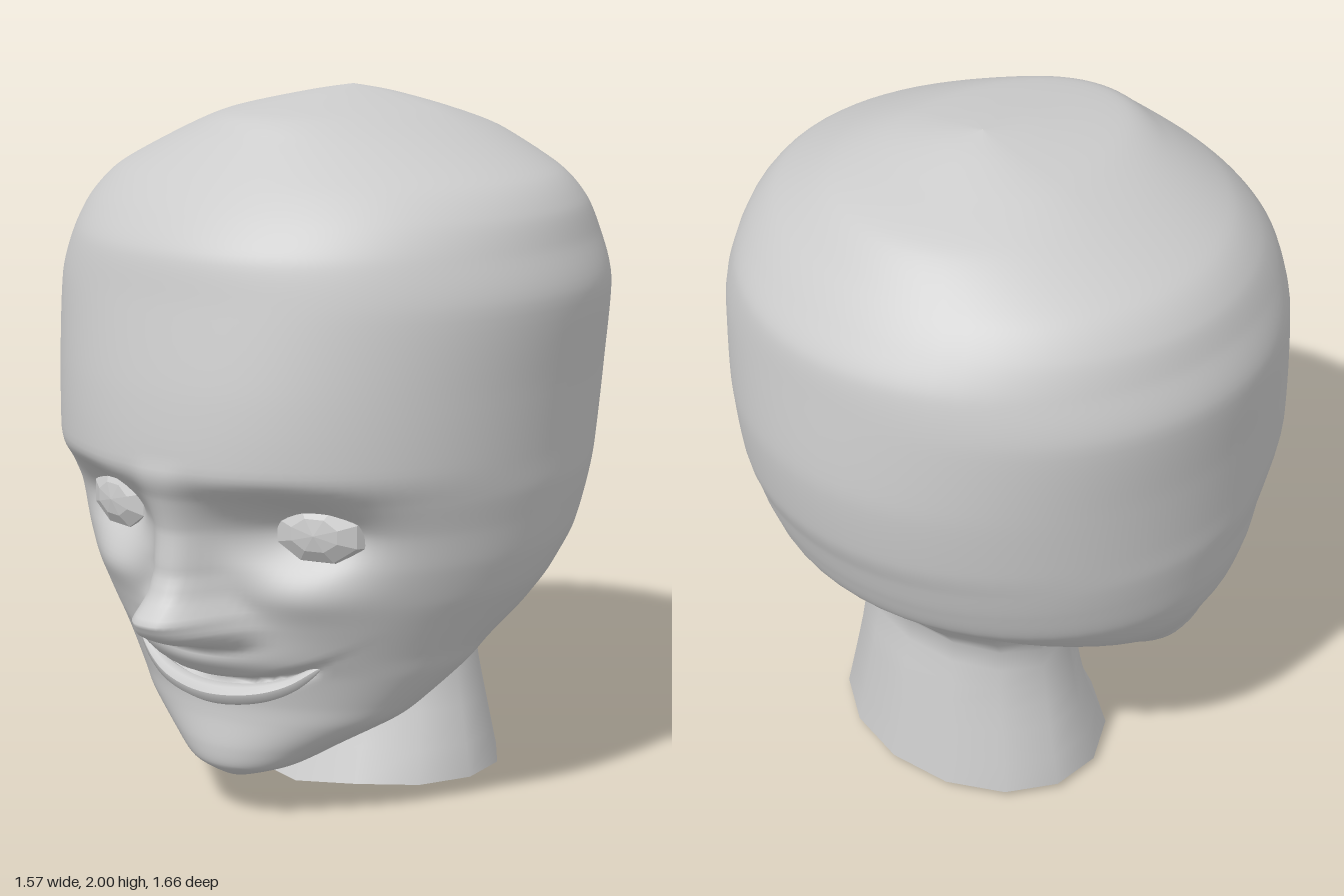
import * as THREE from 'three';

const grey = new THREE.MeshStandardMaterial({ color: 0xcccccc });
const greyOpen = new THREE.MeshStandardMaterial({ color: 0xcccccc, side: THREE.DoubleSide });
const greyFlat = new THREE.MeshStandardMaterial({ color: 0xcccccc, flatShading: true });

// Cross-sections from bottom to top: [y, half width, front z, back z, z of widest point]
const HEAD = [
  [0.11, 0.001, 0.411, 0.409, 0.41], [0.118, 0.05, 0.46, 0.37, 0.41], [0.16, 0.17, 0.52, 0.26, 0.37],
  [0.22, 0.27, 0.53, 0.08, 0.3], [0.3, 0.4, 0.52, 0.02, 0.22], [0.36, 0.46, 0.52, -0.06, 0.17],
  [0.45, 0.535, 0.54, -0.17, 0.1], [0.51, 0.57, 0.57, -0.26, 0.06], [0.6, 0.63, 0.61, -0.43, 0.0],
  [0.68, 0.675, 0.63, -0.57, -0.02], [0.78, 0.71, 0.665, -0.7, -0.04], [0.88, 0.73, 0.69, -0.75, -0.05],
  [0.97, 0.745, 0.73, -0.78, -0.05], [1.06, 0.75, 0.775, -0.81, -0.05], [1.25, 0.765, 0.755, -0.83, -0.05],
  [1.48, 0.785, 0.705, -0.81, -0.06], [1.61, 0.745, 0.675, -0.79, -0.06], [1.7, 0.71, 0.61, -0.73, -0.07],
  [1.78, 0.635, 0.53, -0.66, -0.08], [1.88, 0.44, 0.41, -0.55, -0.1], [1.94, 0.29, 0.32, -0.37, -0.12],
  [1.98, 0.12, 0.06, -0.24, -0.14], [2.0, 0.001, -0.139, -0.141, -0.14],
];
const NECK = [
  [0.02, 0.44, 0.15, -0.535, -0.2], [0.22, 0.395, 0.06, -0.5, -0.2], [0.36, 0.37, 0.03, -0.475, -0.2],
  [0.5, 0.365, 0.0, -0.45, -0.22], [0.6, 0.4, 0.0, -0.535, -0.25], [0.7, 0.45, 0.0, -0.62, -0.28],
  [0.8, 0.46, 0.0, -0.66, -0.28],
];

// Nose by height: [y, projection, half width]
const NOSE = [
  [0.54, 0, 0.13], [0.56, 0.07, 0.14], [0.578, 0.14, 0.14], [0.605, 0.19, 0.14], [0.645, 0.212, 0.125],
  [0.7, 0.135, 0.1], [0.76, 0.085, 0.085], [0.88, 0.045, 0.08], [1.0, 0.02, 0.08], [1.08, 0, 0.08],
];

// Linear interpolation in a table keyed by its first column
function sample(table, y) {
  let i = 0;
  while (i < table.length - 2 && table[i + 1][0] < y) i++;
  const p = table[i], q = table[i + 1];
  const t = THREE.MathUtils.clamp((y - p[0]) / (q[0] - p[0]), 0, 1);
  return p.map((v, k) => v + (q[k] - v) * t);
}

// Rounded interpolation between table rows by index
function blend(table, k, t) {
  const row = (i) => table[THREE.MathUtils.clamp(i, 0, table.length - 1)];
  const [o, p, q, r] = [row(k - 1), row(k), row(k + 1), row(k + 2)];
  const t2 = t * t, t3 = t2 * t, pull = 0.4;
  return p.map((v, n) => v * (2 * t3 - 3 * t2 + 1) + q[n] * (3 * t2 - 2 * t3)
    + pull * (q[n] - o[n]) * (t3 - 2 * t2 + t) + pull * (r[n] - v) * (t3 - t2));
}

const hill = (dx, dy, sx, sy) => Math.exp(-((dx / sx) ** 2) - (dy / sy) ** 2);

// Loft through rings; columns can crowd towards the front, rule moves each vertex
function loft(table, steps, columns, crowd, rule) {
  const pos = [], index = [];
  const rows = (table.length - 1) * steps + 1;
  for (let i = 0; i < rows; i++) {
    const k = Math.min(Math.floor(i / steps), table.length - 2);
    const [y, a, front, back, mid] = blend(table, k, i / steps - k);
    for (let j = 0; j < columns; j++) {
      const u = (j / columns) * Math.PI * 2;
      const angle = u - crowd * Math.sin(u);
      const c = Math.cos(angle);
      const p = new THREE.Vector3(a * Math.sin(angle), y, mid + c * (c > 0 ? front - mid : mid - back));
      rule(p, c);
      pos.push(p.x, p.y, p.z);
      if (i < rows - 1) {
        const n = i * columns + j, m = i * columns + ((j + 1) % columns);
        index.push(n, m, m + columns, n, m + columns, n + columns);
      }
    }
  }
  const geo = new THREE.BufferGeometry();
  geo.setAttribute('position', new THREE.Float32BufferAttribute(pos, 3));
  geo.setIndex(index);
  geo.computeVertexNormals();
  return geo;
}

// Nose, eye sockets, cheeks and mouth pushed out of or into the front of the skull
function faceRule(p, c) {
  if (c <= 0) return;
  const { x, y } = p, ax = Math.abs(x);
  let d = 0;
  if (y > 0.54 && y < 1.08) {
    const [, out, w] = sample(NOSE, y);
    d += out * Math.exp(-((ax / w) ** 3));
  }
  d -= 0.14 * hill(ax - 0.31, y - 0.88, 0.16, 0.105);          // eye sockets
  d += 0.015 * hill(ax - 0.3, y - 1.02, 0.2, 0.05);            // brows
  d += 0.02 * hill(ax - 0.33, y - 0.7, 0.13, 0.06);            // cheeks
  // Upper lip: a broad mound ending sharply at the curved mouth line
  const mouthY = 0.425 + 0.75 * ax * ax;
  const above = THREE.MathUtils.smoothstep(y, mouthY - 0.005, mouthY + 0.02);
  d += 0.065 * above * hill(ax, y - 0.5, 0.24, 0.075);
  if (ax < 0.32) d -= 0.04 * hill(0, y - mouthY + 0.01, 1, 0.018) * (1 - (ax / 0.32) ** 4);
  p.z += d * Math.min(1, c * 2);
}

// Lower lip: tube along a mirrored curve, tapering to the mouth corners
function lowerLipGeometry() {
  const half = [[0, 0.385, 0.545], [0.14, 0.4, 0.525], [0.23, 0.432, 0.495], [0.31, 0.488, 0.465]];
  const pts = half.map(([x, y, z]) => new THREE.Vector3(x, y, z));
  const mirrored = pts.slice(1).reverse().map((p) => new THREE.Vector3(-p.x, p.y, p.z));
  const curve = new THREE.CatmullRomCurve3([...mirrored, ...pts]);
  const geo = new THREE.TubeGeometry(curve, 32, 0.031, 8);
  const { position, uv } = geo.attributes;
  const v = new THREE.Vector3();
  for (let i = 0; i < position.count; i++) {
    const u = uv.getX(i);
    const centre = curve.getPointAt(u);
    v.fromBufferAttribute(position, i).sub(centre);
    v.multiplyScalar(0.15 + 0.85 * Math.max(0, Math.sin(Math.PI * u)) ** 0.6).add(centre);
    position.setXYZ(i, v.x, v.y, v.z);
  }
  geo.computeVertexNormals();
  return geo;
}

export function createModel() {
  const group = new THREE.Group();
  group.name = 'head';
  const add = (name, geo, mat) => {
    const mesh = new THREE.Mesh(geo, mat);
    mesh.name = name;
    group.add(mesh);
    return mesh;
  };

  add('skullAndFace', loft(HEAD, 7, 96, 0.6, faceRule), grey);

  // Open neck flaring into the nape, its front edge dipping to the ground
  add('neck', loft(NECK, 2, 14, 0, (p, c) => {
    if (p.y < 0.03 && c > 0.99) p.y = 0;
  }), greyOpen);

  // Faceted eyeballs
  for (const side of [1, -1]) {
    const eye = add(side > 0 ? 'leftEye' : 'rightEye',
      new THREE.SphereGeometry(1, 8, 6).rotateX(Math.PI / 2).rotateZ(Math.PI / 8), greyFlat);
    eye.scale.set(0.14, 0.095, 0.06);
    eye.position.set(side * 0.33, 0.88, 0.49);
    eye.rotation.y = side * 0.25;
  }

  add('lowerLip', lowerLipGeometry(), grey);
  return group;
}
